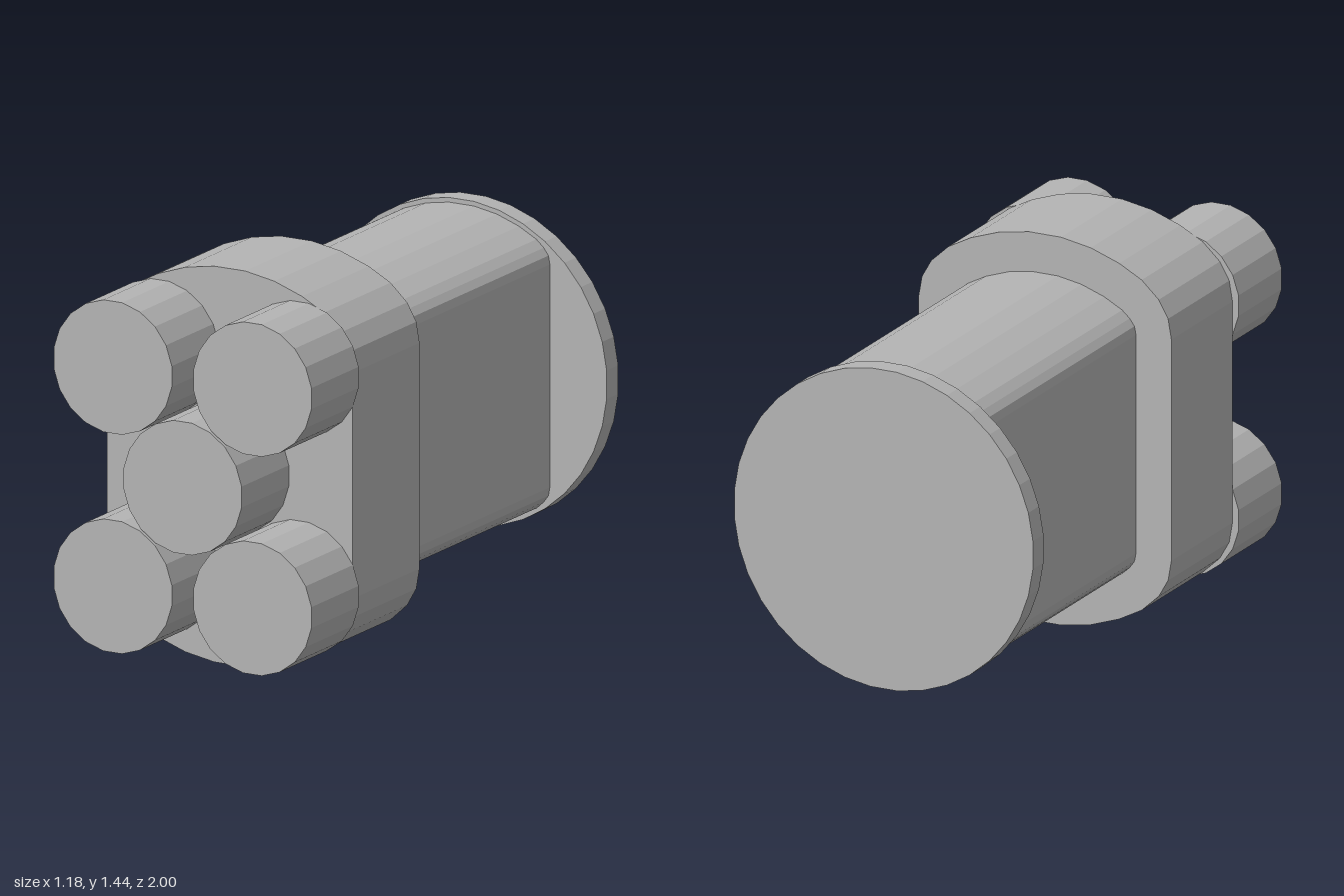
import * as THREE from 'three';

const CY = 0.722; // height of the main axis

export function createModel() {
  const group = new THREE.Group();
  const grey = new THREE.MeshStandardMaterial({ color: 0xb4b4b4, flatShading: true });

  const add = (name, geometry, x, y, z) => {
    const mesh = new THREE.Mesh(geometry, grey);
    mesh.name = name;
    mesh.position.set(x, y, z);
    group.add(mesh);
  };

  // Faceted cylinder lying along z, with flats at its four extremes
  const drum = (name, r, sides, z0, z1, x, y) => {
    const g = new THREE.CylinderGeometry(r, r, z1 - z0, sides);
    g.rotateY(Math.PI / sides).rotateX(Math.PI / 2);
    add(name, g, x, y, (z0 + z1) / 2);
  };

  // Circle trimmed by flat sides, with rounded corners, extruded along z
  const trimmed = (name, r, corner, z0, z1) => {
    const quarter = [5, 14.5, 24, 32].map((a) => {
      const t = THREE.MathUtils.degToRad(a);
      return [r * Math.sin(t), r * Math.cos(t)];
    }).concat(corner);
    const back = [...quarter].reverse();
    const outline = [
      ...quarter,
      ...back.map(([x, y]) => [x, -y]),
      ...quarter.map(([x, y]) => [-x, -y]),
      ...back.map(([x, y]) => [-x, y]),
    ].map(([x, y]) => new THREE.Vector2(x, y)).reverse();
    const g = new THREE.ExtrudeGeometry(new THREE.Shape(outline), { depth: z1 - z0, bevelEnabled: false });
    add(name, g, 0, CY, z0);
  };

  trimmed('collar', 0.722, [[0.45, 0.55], [0.487, 0.485], [0.5, 0.41]], 0.215, 0.675);
  trimmed('body', 0.576, [[0.335, 0.462], [0.354, 0.436], [0.36, 0.405]], -0.92, 0.215);
  drum('backPlate', 0.593, 36, -1, -0.92, 0, CY);

  // Five front barrels: one in the middle and one at each corner
  drum('centreBarrel', 0.243, 20, 0.675, 1, 0, CY);
  for (const sx of [-1, 1])
    for (const sy of [-1, 1])
      drum('cornerBarrel', 0.243, 20, 0.675, 1, sx * 0.284, CY + sy * 0.398);

  return group;
}
